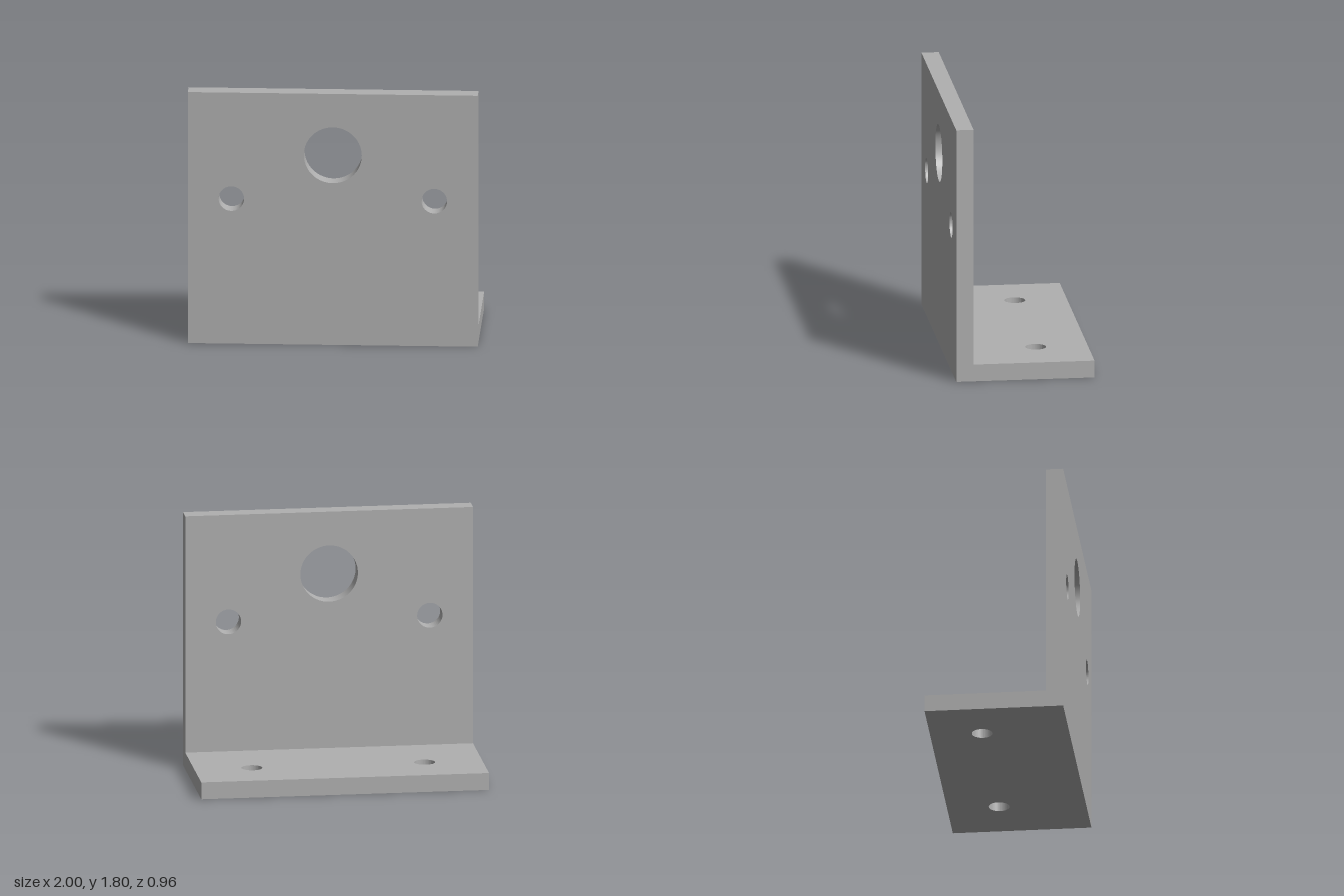
import * as THREE from 'three';
import { toCreasedNormals } from 'three/addons/utils/BufferGeometryUtils.js';

const THICKNESS = 0.12;

// Rectangular plate from y0 to y1, drilled with holes given as [x, y, radius]
function drilledPlate(y0, y1, holes) {
  const shape = new THREE.Shape();
  shape.moveTo(-1, y0);
  shape.lineTo(1, y0);
  shape.lineTo(1, y1);
  shape.lineTo(-1, y1);
  shape.closePath();
  for (const [x, y, r] of holes) {
    const hole = new THREE.Path();
    hole.absarc(x, y, r, 0, Math.PI * 2, true);
    shape.holes.push(hole);
  }
  const geometry = new THREE.ExtrudeGeometry(shape, {
    depth: THICKNESS, bevelEnabled: false, curveSegments: 48,
  });
  return toCreasedNormals(geometry, Math.PI / 6);
}

export function createModel() {
  const group = new THREE.Group();
  group.name = 'angleBracket';

  const metal = new THREE.MeshStandardMaterial({ color: 0xb0b0b0 });
  metal.name = 'greyMetal';

  // Upright plate: one large bore and a pair of mounting holes
  const upright = new THREE.Mesh(
    drilledPlate(0, 1.8, [[0, 1.36, 0.2], [-0.7, 1.04, 0.088], [0.7, 1.04, 0.088]]),
    metal,
  );
  upright.name = 'uprightPlate';
  upright.position.z = 0.36;
  group.add(upright);

  // Base plate laid flat behind the upright, with two bolt holes
  const base = new THREE.Mesh(
    drilledPlate(-0.36, 0.48, [[-0.6, 0.12, 0.072], [0.6, 0.12, 0.072]]),
    metal,
  );
  base.name = 'basePlate';
  base.rotation.x = -Math.PI / 2;
  group.add(base);

  return group;
}
